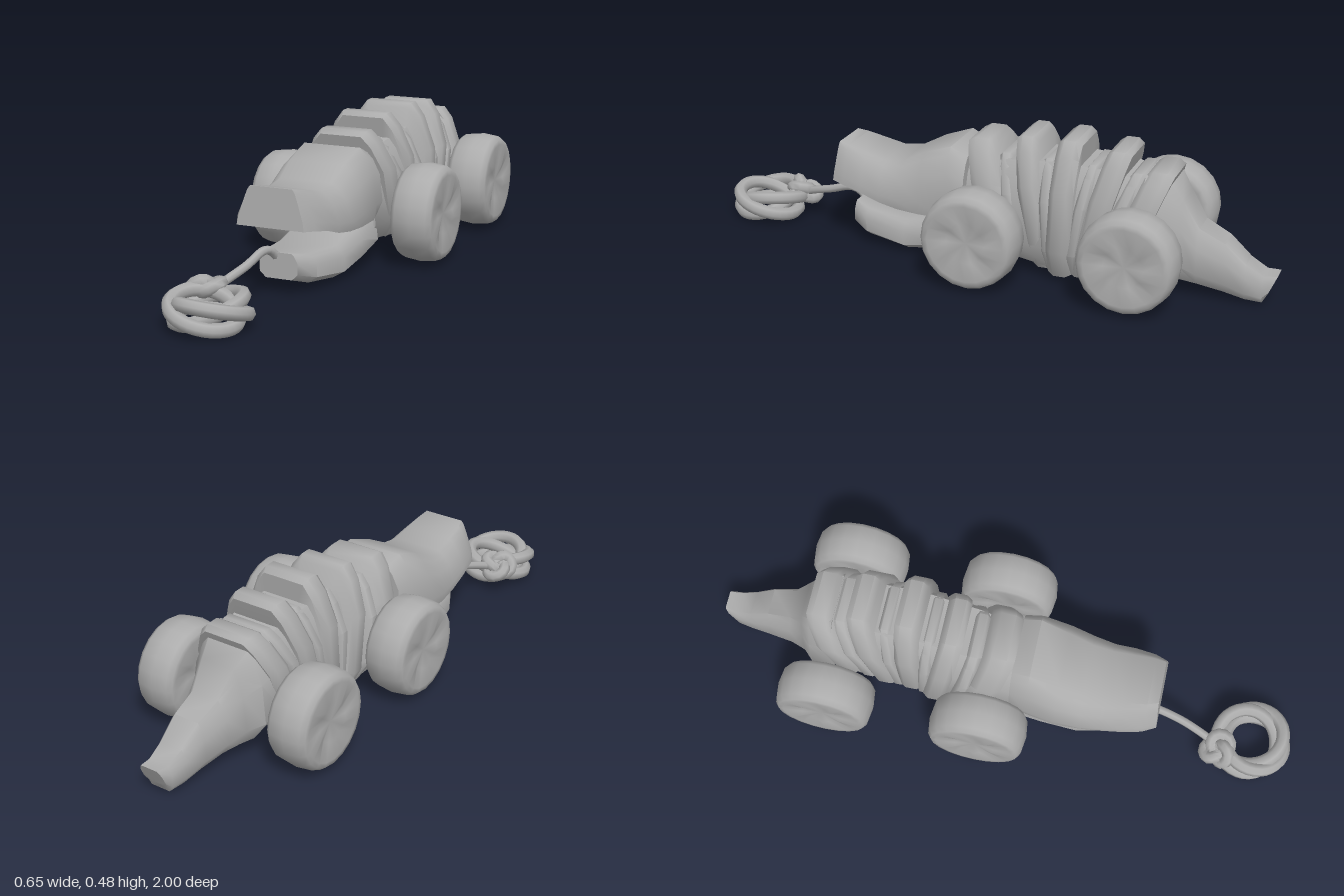
import * as THREE from 'three';
import { toCreasedNormals } from 'three/addons/utils/BufferGeometryUtils.js';

const grey = new THREE.MeshStandardMaterial({ color: 0xacacac });
grey.name = 'plain grey';

function part(name, geometry, parent, crease = 0.85) {
  const mesh = new THREE.Mesh(toCreasedNormals(geometry, crease), grey);
  mesh.name = name;
  parent.add(mesh);
  return mesh;
}

// Loft through sections running front to back:
// [z, centre x, bottom y, top y, bottom half width, lower half width, upper half width, top half width,
//  shear of top in z, height of the arch in the underside]
function loft(sections) {
  const pos = [], index = [], n = 12;
  for (const [z, x, y0, y1, wb, wl, wu, wt, shear = 0, arch = 0] of sections) {
    const h = y1 - y0;
    const half = [[wb * 0.6, arch / h], [wb, 0], [wl, 0.22], [wu, 0.66], [wu * 0.45 + wt * 0.55, 0.9], [wt, 1]];
    const ring = [...half, ...half.map(([w, t]) => [-w, t]).reverse()];
    for (const [w, t] of ring) pos.push(x + w, y0 + h * t, z + shear * (t - 0.5));
  }
  for (let s = 0; s < sections.length - 1; s++) {
    for (let j = 0; j < n; j++) {
      const a = s * n + j, b = s * n + (j + 1) % n, c = a + n, d = b + n;
      index.push(a, c, b, b, c, d);
    }
  }
  const last = (sections.length - 1) * n;
  for (let j = 1; j < n - 1; j++) {
    index.push(0, j, j + 1);
    index.push(last, last + j + 1, last + j);
  }
  const g = new THREE.BufferGeometry();
  g.setAttribute('position', new THREE.Float32BufferAttribute(pos, 3));
  g.setIndex(index);
  return g;
}

// Rounded wheel with a shallow five-pointed dent in each face
function wheelGeometry() {
  const profile = [[0, -0.058], [0.065, -0.066], [0.13, -0.072], [0.146, -0.07], [0.158, -0.054],
    [0.165, 0], [0.158, 0.054], [0.146, 0.07], [0.13, 0.072], [0.065, 0.066], [0, 0.058]];
  const g = new THREE.LatheGeometry(profile.map(p => new THREE.Vector2(...p)), 20);
  const p = g.attributes.position;
  for (let i = 0; i < p.count; i++) {
    const r = Math.hypot(p.getX(i), p.getZ(i));
    if (r > 0.05 && r < 0.08) {
      const a = Math.atan2(p.getZ(i), p.getX(i));
      p.setY(i, p.getY(i) + Math.sign(p.getY(i)) * 0.006 * Math.cos(5 * a));
    }
  }
  g.rotateZ(-Math.PI / 2);
  return g;
}

function rope(points, radius, closed = false) {
  const curve = new THREE.CatmullRomCurve3(points.map(p => new THREE.Vector3(...p)), closed);
  return new THREE.TubeGeometry(curve, closed ? 32 : 18, radius, 7, closed);
}

export function createModel() {
  const model = new THREE.Group();
  model.name = 'pullAlongReptile';

  // Upper head and snout, hollowed underneath as a mouth
  part('upperHead', loft([
    [0.53, -0.036, 0.226, 0.353, 0.115, 0.11, 0.092, 0.072, -0.01],
    [0.49, -0.038, 0.22, 0.345, 0.135, 0.132, 0.108, 0.08, 0, 0.008],
    [0.42, -0.038, 0.205, 0.328, 0.146, 0.146, 0.122, 0.085, 0, 0.025],
    [0.35, -0.037, 0.182, 0.312, 0.15, 0.153, 0.132, 0.088, 0, 0.045],
    [0.28, -0.035, 0.17, 0.322, 0.155, 0.162, 0.142, 0.09, 0, 0.055],
    [0.2, -0.033, 0.165, 0.365, 0.158, 0.164, 0.15, 0.095, 0, 0.06],
    [0.1, -0.025, 0.165, 0.402, 0.15, 0.16, 0.148, 0.1, 0, 0.05],
    [0.04, -0.02, 0.17, 0.375, 0.13, 0.15, 0.14, 0.095],
  ]), model);

  // Lower jaw
  part('lowerJaw', loft([
    [0.48, -0.035, 0.05, 0.135, 0.045, 0.065, 0.065, 0.045],
    [0.42, -0.032, 0.03, 0.125, 0.07, 0.1, 0.1, 0.075],
    [0.27, -0.03, 0.008, 0.115, 0.085, 0.125, 0.125, 0.095],
    [0.15, -0.025, 0.025, 0.15, 0.09, 0.13, 0.13, 0.09],
    [0.03, -0.02, 0.04, 0.22, 0.09, 0.13, 0.12, 0.08],
  ]), model);

  // Inner body between the plates
  part('bodyCore', loft([
    [0.05, -0.02, 0.07, 0.34, 0.08, 0.13, 0.12, 0.08],
    [-0.1, -0.01, 0.06, 0.385, 0.1, 0.145, 0.135, 0.085],
    [-0.3, 0.005, 0.035, 0.405, 0.11, 0.15, 0.135, 0.085],
    [-0.5, 0.01, 0.06, 0.39, 0.1, 0.145, 0.135, 0.085],
    [-0.66, 0.01, 0.09, 0.34, 0.07, 0.11, 0.1, 0.07],
  ]), model);

  // Fanned body plates: [centre z, centre x, bottom, top, half width, thickness, lean]
  const plates = [
    [-0.055, -0.02, 0.06, 0.438, 0.16, 0.1, 0.1],
    [-0.125, -0.02, 0.05, 0.4, 0.155, 0.05, 0.07],
    [-0.2, -0.015, 0.03, 0.47, 0.162, 0.075, 0.07],
    [-0.255, 0, 0.03, 0.408, 0.155, 0.045, 0.02],
    [-0.308, 0.012, 0.02, 0.482, 0.165, 0.08, -0.02],
    [-0.365, 0.01, 0.03, 0.408, 0.155, 0.045, -0.06],
    [-0.425, 0.01, 0.025, 0.463, 0.16, 0.08, -0.11],
    [-0.485, 0.012, 0.06, 0.4, 0.155, 0.055, -0.12],
    [-0.555, 0.012, 0.07, 0.412, 0.158, 0.09, -0.12],
  ];
  plates.forEach(([z, x, y0, y1, w, d, lean], i) => {
    const section = (dz, k) => [z + dz, x, y0 + (1 - k) * 0.1, y1 - (1 - k) * 0.15,
      w * 0.7 * k, w * k, w * 0.97 * k, w * 0.5 * k, lean];
    part('bodyPlate' + (i + 1), loft([
      section(d / 2, 0.91), section(d / 4, 1), section(-d / 4, 1), section(-d / 2, 0.91),
    ]), model, 0.95);
  });

  // Hips and tapering tail with its lifted tip
  part('tail', loft([
    [-0.57, 0.01, 0.08, 0.4, 0.09, 0.145, 0.14, 0.085],
    [-0.65, 0.005, 0.07, 0.375, 0.09, 0.138, 0.128, 0.075],
    [-0.69, 0.015, 0.06, 0.32, 0.075, 0.106, 0.095, 0.06],
    [-0.745, 0.022, 0.05, 0.235, 0.06, 0.086, 0.08, 0.05],
    [-0.83, 0.028, 0.035, 0.195, 0.05, 0.073, 0.068, 0.045],
    [-0.9, 0.032, 0.018, 0.135, 0.042, 0.06, 0.058, 0.04],
    [-0.955, 0.035, 0.014, 0.105, 0.035, 0.05, 0.05, 0.036],
    [-0.985, 0.036, 0.04, 0.108, 0.028, 0.043, 0.042, 0.03, -0.03],
  ]), model);

  // Wheels
  const wheel = wheelGeometry();
  for (const [name, z] of [['front', -0.045], ['rear', -0.568]]) {
    for (const [side, x] of [['Left', 0.253], ['Right', -0.257]]) {
      part(name + side + 'Wheel', wheel, model).position.set(x, 0.172, z);
    }
  }

  // Pull cord
  part('pullCord', rope([[-0.045, 0.1, 0.45], [-0.055, 0.145, 0.5], [-0.062, 0.15, 0.54],
    [-0.075, 0.125, 0.62], [-0.1, 0.1, 0.7], [-0.12, 0.08, 0.75]], 0.014), model, 1.2);

  // Coiled hand loop of overlapping strands
  for (let k = 0; k < 3; k++) {
    const points = [];
    for (let i = 0; i < 12; i++) {
      const a = i * Math.PI / 6, twist = a + k * Math.PI * 2 / 3;
      const r = 0.102 + 0.015 * Math.cos(twist);
      points.push([-0.073 + r * Math.cos(a), 0.06 + 0.035 * Math.sin(twist), 0.862 + r * Math.sin(a)]);
    }
    part('handLoopStrand' + (k + 1), rope(points, 0.023, true), model, 1.2);
  }

  // Knot where the cord meets the loop
  const knot = part('knot', new THREE.TorusKnotGeometry(0.034, 0.021, 40, 7, 2, 3), model, 1.2);
  knot.position.set(-0.135, 0.085, 0.757);
  knot.rotation.set(1.1, 0.3, 0.4);

  return model;
}
